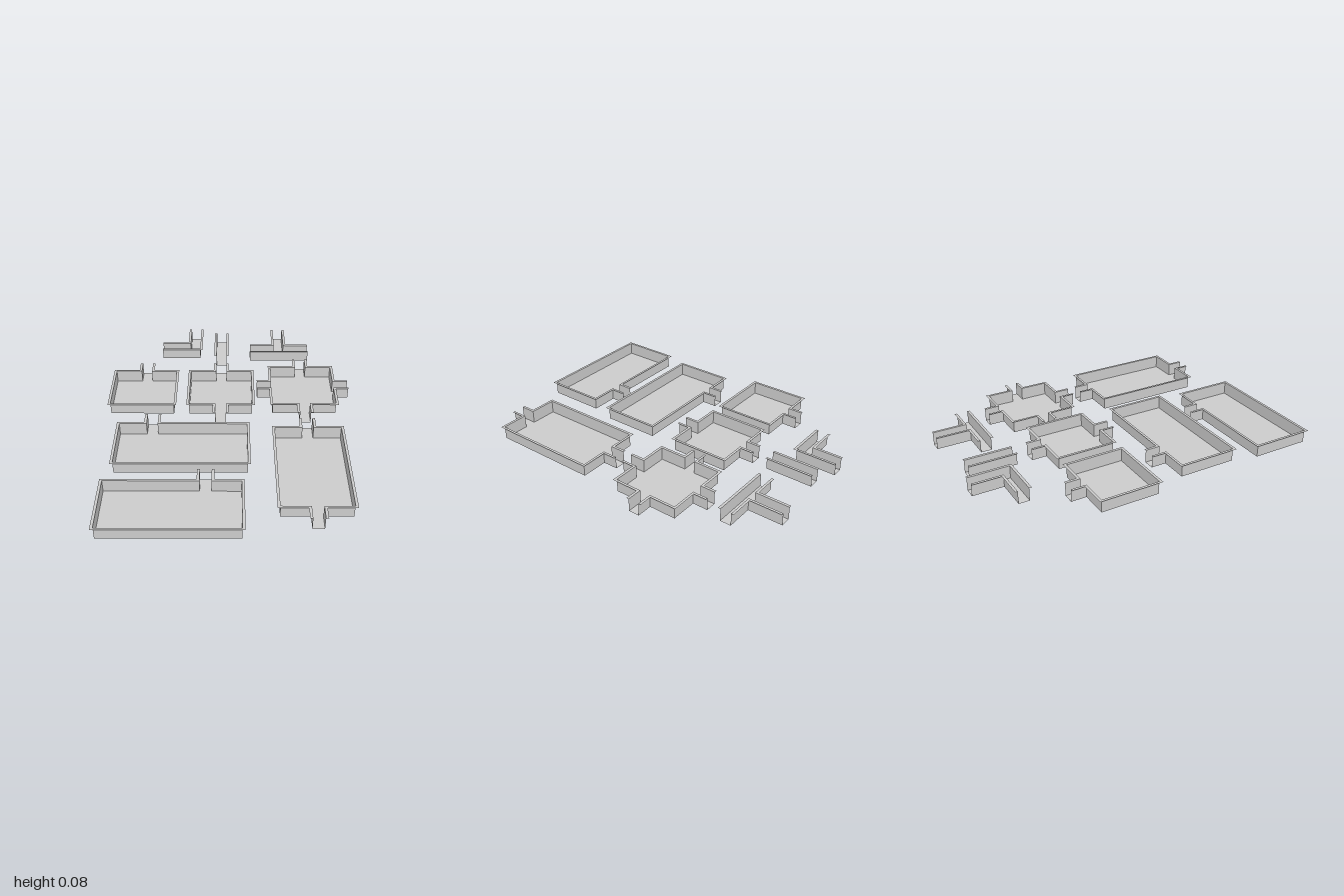
import * as THREE from 'three';

const H = 0.08;      // wall height
const RIM = 0.016;   // width of the flat rim around the top
const DOOR = 0.05;   // half width of a passage, rim included
const material = new THREE.MeshStandardMaterial({ color: 0xcccccc, side: THREE.DoubleSide, flatShading: true });

// Outline points are [x, z, open]; they run clockwise seen from above.
// "open" marks that the edge starting there is an open passage end.
function inset(points) {
  const n = points.length;
  const edges = points.map((p, i) => {
    const q = points[(i + 1) % n];
    const d = p[2] ? 0 : RIM;
    return { nx: -Math.sign(q[1] - p[1]) * d, nz: Math.sign(q[0] - p[0]) * d };
  });
  return points.map((p, i) => {
    const e = edges[i], f = edges[(i + n - 1) % n];
    return [p[0] + e.nx + f.nx, p[1] + e.nz + f.nz];
  });
}

function quads(list) {
  const pos = [];
  for (const [a, b, c, d] of list) pos.push(...a, ...b, ...c, ...a, ...c, ...d);
  const g = new THREE.BufferGeometry();
  g.setAttribute('position', new THREE.Float32BufferAttribute(pos, 3));
  g.computeVertexNormals();
  return g;
}

function addMesh(group, geometry, name) {
  const mesh = new THREE.Mesh(geometry, material);
  mesh.name = name;
  group.add(mesh);
}

// Tray with floor, thin walls and an outward rim, open at the passage ends
function tile(name, outer) {
  const group = new THREE.Group();
  group.name = name;
  const inner = inset(outer);
  const floor = new THREE.ShapeGeometry(new THREE.Shape(inner.map(([x, z]) => new THREE.Vector2(x, z))));
  floor.rotateX(Math.PI / 2);
  addMesh(group, floor, 'floor');

  const walls = [], rims = [];
  outer.forEach((p, i) => {
    if (p[2]) return;
    const j = (i + 1) % outer.length;
    const at = ([x, z], y) => [x, y, z];
    const a = inner[i], b = inner[j];
    walls.push([at(a, 0), at(a, H), at(b, H), at(b, 0)]);
    rims.push([at(a, H), at(b, H), at(outer[j], H), at(p, H)]);
  });
  addMesh(group, quads(walls), 'walls');
  addMesh(group, quads(rims), 'rim');
  return group;
}

// Rectangular room; each door is [position along its side, outer end]
function roomOutline(x0, x1, z0, z1, { n, e, s, w }) {
  const pts = [[x0, z0]];
  if (n) pts.push([n[0] - DOOR, z0], [n[0] - DOOR, n[1], true], [n[0] + DOOR, n[1]], [n[0] + DOOR, z0]);
  pts.push([x1, z0]);
  if (e) pts.push([x1, e[0] - DOOR], [e[1], e[0] - DOOR, true], [e[1], e[0] + DOOR], [x1, e[0] + DOOR]);
  pts.push([x1, z1]);
  if (s) pts.push([s[0] + DOOR, z1], [s[0] + DOOR, s[1], true], [s[0] - DOOR, s[1]], [s[0] - DOOR, z1]);
  pts.push([x0, z1]);
  if (w) pts.push([x0, w[0] + DOOR], [w[1], w[0] + DOOR, true], [w[1], w[0] - DOOR], [x0, w[0] - DOOR]);
  return pts;
}

export function createModel() {
  const model = new THREE.Group();
  model.name = 'roomTiles';

  // Rooms
  const rooms = [
    ['squareRoomOneDoor', -0.777, -0.342, -0.477, -0.085, { n: [-0.559, -0.555] }],
    ['squareRoomTwoDoors', -0.277, 0.158, -0.477, -0.085, { n: [-0.059, -0.555], s: [-0.059, -0.005] }],
    ['squareRoomFourDoors', 0.256, 0.692, -0.525, -0.087,
      { n: [0.475, -0.605], s: [0.475, -0.005], e: [-0.307, 0.774], w: [-0.307, 0.177] }],
    ['wideRoomLeftDoor', -0.695, 0.121, 0.092, 0.482, { n: [-0.478, 0.013] }],
    ['wideRoomRightDoor', -0.734, 0.083, 0.607, 1.0, { n: [-0.137, 0.526] }],
    ['longRoomTwoDoors', 0.258, 0.696, 0.13, 0.836, { n: [0.477, 0.05], s: [0.477, 0.916] }],
  ];
  for (const [name, x0, x1, z0, z1, doors] of rooms) {
    model.add(tile(name, roomOutline(x0, x1, z0, z1, doors)));
  }

  // Corner passage
  model.add(tile('cornerPassage', [
    [-0.293, -1, true], [-0.193, -1], [-0.193, -0.727],
    [-0.472, -0.727, true], [-0.472, -0.825], [-0.293, -0.825],
  ]));

  // Straight passage
  model.add(tile('straightPassage', [
    [-0.109, -0.947, true], [-0.01, -0.947], [-0.01, -0.649, true], [-0.109, -0.649],
  ]));

  // Three-way passage
  model.add(tile('threeWayPassage', [
    [0.293, -0.997, true], [0.39, -0.997], [0.39, -0.797], [0.543, -0.797, true],
    [0.543, -0.697], [0.14, -0.697, true], [0.14, -0.797], [0.293, -0.797],
  ]));

  return model;
}
